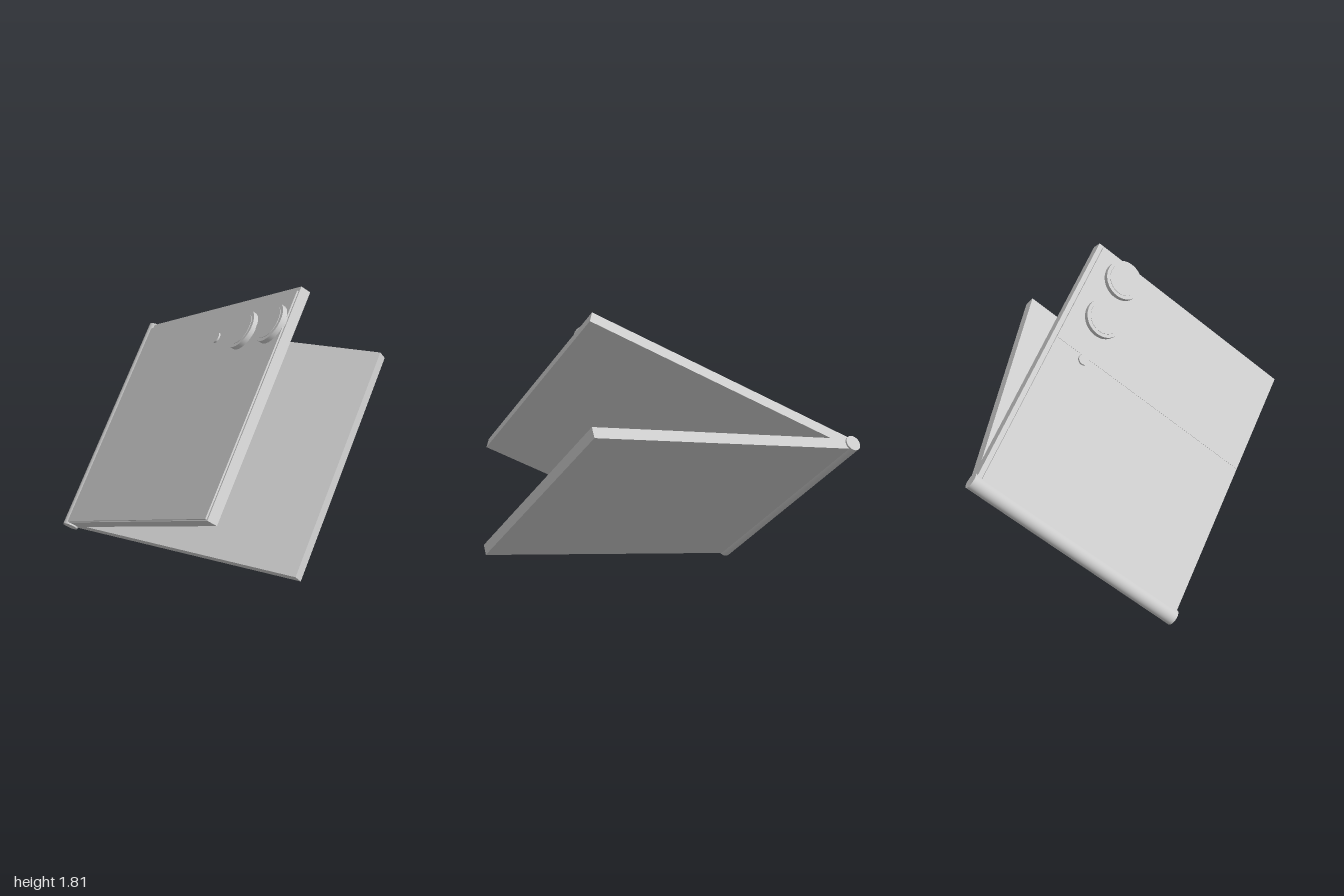
import * as THREE from 'three';

export function createModel() {
  const root = new THREE.Group();
  root.name = 'foldingPhone';
  const grey = new THREE.MeshStandardMaterial({ color: 0xcccccc });
  grey.name = 'light grey';

  const add = (parent, name, geometry, x, y, z) => {
    const mesh = new THREE.Mesh(geometry, grey);
    mesh.name = name;
    mesh.position.set(x, y, z);
    parent.add(mesh);
    return mesh;
  };
  const disc = (r, h) => new THREE.CylinderGeometry(r, r, h, 48);

  const WIDTH = 1.446, LENGTH = 1.74, THICK = 0.066;
  const FACE = THICK / 2;

  // Local frame: x along the hinge, z away from it, y towards the upper half
  const phone = new THREE.Group();
  phone.name = 'phone';
  const xAxis = new THREE.Vector3(0.746, 0.647, -0.16).normalize();
  const yAxis = new THREE.Vector3(0.062, 0.161, 0.985).cross(xAxis).normalize();
  const zAxis = new THREE.Vector3().crossVectors(xAxis, yAxis);
  phone.quaternion.setFromRotationMatrix(new THREE.Matrix4().makeBasis(xAxis, yAxis, zAxis));
  phone.position.set(0.1275, 0.52, -0.8375);
  root.add(phone);

  // Hinge barrel
  add(phone, 'hinge', disc(0.048, 1.468), 0, 0, 0).rotation.z = Math.PI / 2;

  // Lower half
  const panel = new THREE.BoxGeometry(WIDTH, THICK, LENGTH);
  add(phone, 'lowerHalf', panel, 0, 0, LENGTH / 2);

  // Upper half, opened about the hinge
  const upper = new THREE.Group();
  upper.name = 'upperHalf';
  upper.rotation.x = -0.434;
  phone.add(upper);
  add(upper, 'upperBody', panel, 0, 0, LENGTH / 2);

  // Back covers, meeting at a fine step
  const SPLIT = 1.035, END = 1.73;
  add(upper, 'backCover', new THREE.BoxGeometry(1.41, 0.008, SPLIT - 0.02),
    -0.012, FACE + 0.004, (SPLIT + 0.02) / 2);
  add(upper, 'cameraCover', new THREE.BoxGeometry(1.41, 0.01, END - SPLIT),
    -0.012, FACE + 0.005, (SPLIT + END) / 2);

  // Two lenses, each a ring with a slightly raised glass
  for (const z of [1.315, 1.612]) {
    add(upper, 'lensRing', disc(0.122, 0.04), 0.49, FACE + 0.02, z);
    add(upper, 'lensGlass', disc(0.1, 0.004), 0.49, FACE + 0.041, z);
  }

  // Small flash
  add(upper, 'flash', disc(0.033, 0.02), 0.485, FACE + 0.01, 1.012);

  return root;
}
